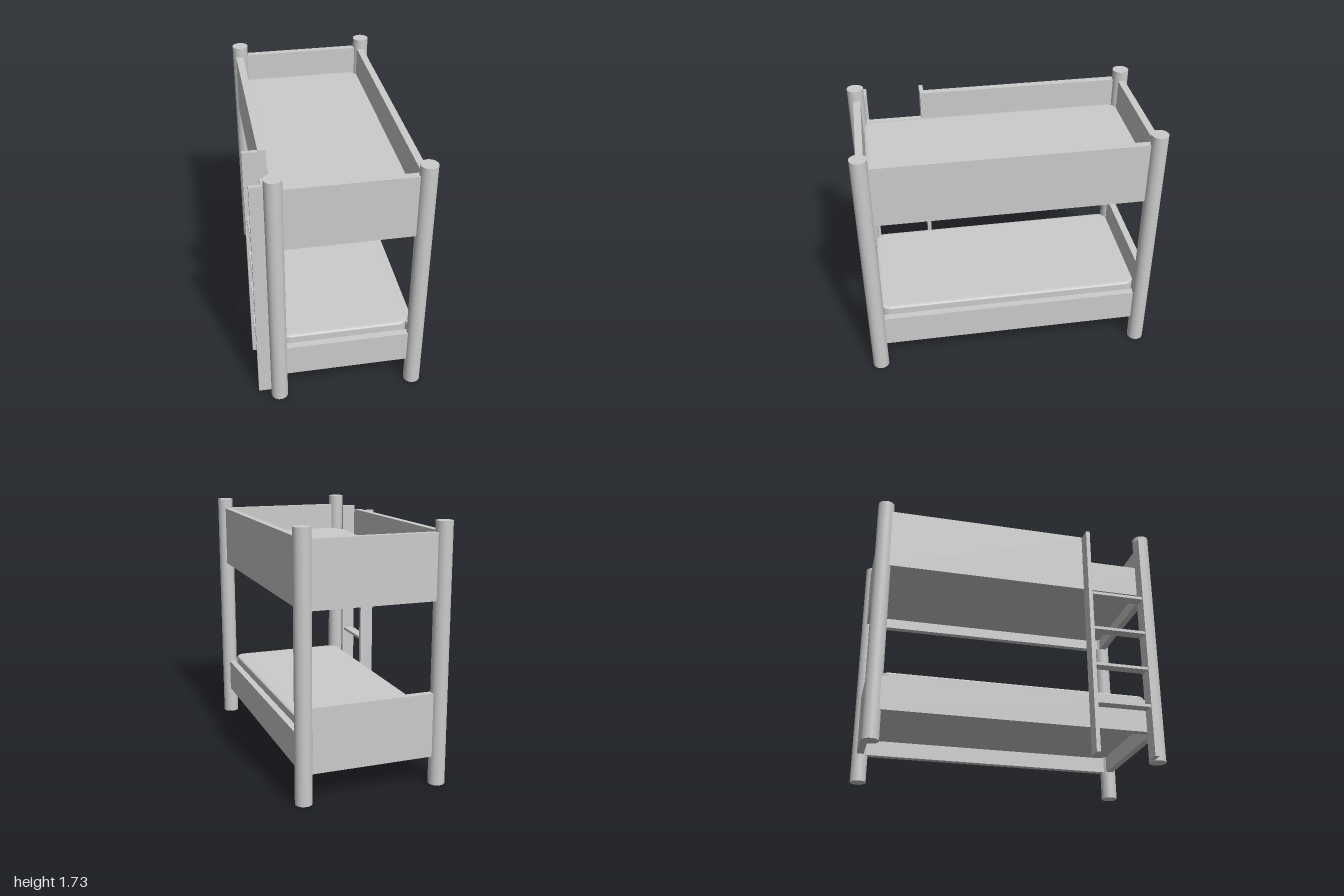
import * as THREE from 'three';

const material = new THREE.MeshStandardMaterial({ color: 0xcccccc });

export function createModel() {
  const bed = new THREE.Group();
  bed.name = 'bunkBed';

  const add = (name, geometry, x = 0, y = 0, z = 0) => {
    const mesh = new THREE.Mesh(geometry, material);
    mesh.name = name;
    mesh.position.set(x, y, z);
    bed.add(mesh);
  };

  // Box given by its lower and upper limits on each axis
  const box = (name, [x0, x1], [y0, y1], [z0, z1]) =>
    add(name, new THREE.BoxGeometry(x1 - x0, y1 - y0, z1 - z0),
      (x0 + x1) / 2, (y0 + y1) / 2, (z0 + z1) / 2);

  // Four round corner posts
  const postX = [-0.424, 0.499], postZ = 0.944, postHeight = 1.732;
  for (const x of postX)
    for (const z of [-postZ, postZ])
      add('post', new THREE.CylinderGeometry(0.056, 0.056, postHeight, 32), x, postHeight / 2, z);

  // Rail positions between the posts
  const spanX = postX, spanZ = [-postZ, postZ];
  const leftX = [0.464, 0.511], rightX = [-0.461, -0.41];
  const frontZ = [0.915, 0.962], backZ = [-0.968, -0.92];

  // Lower bunk: low rails with a tall headboard at the back
  const low = [0.197, 0.425];
  box('lowerFrontRail', spanX, low, frontZ);
  box('lowerHeadboard', spanX, [0.197, 0.628], backZ);
  box('lowerLeftRail', leftX, low, spanZ);
  box('lowerRightRail', rightX, low, spanZ);

  // Upper bunk: tall panels, with a lowered rail at the ladder opening
  const high = [1.232, 1.662];
  box('upperFrontPanel', spanX, high, frontZ);
  box('upperHeadboard', spanX, high, backZ);
  box('upperLeftPanel', leftX, high, spanZ);
  box('upperRightPanel', rightX, high, [-postZ, 0.5]);
  box('upperEntryRail', rightX, [1.232, 1.46], [0.5, postZ]);

  // Mattresses with rounded corners and softly crowned faces
  for (const [name, bottom] of [['lowerMattress', 0.299], ['upperMattress', 1.295]])
    add(name, mattressGeometry(0.865, 1.82, 0.181, 0.07), 0.026, bottom, 0);

  // Ladder: two flat stiles and evenly spaced treads
  for (const z of [0.472, 0.87]) box('ladderStile', [-0.56, -0.461], [0, 1.653], [z, z + 0.028]);
  for (let i = 0; i < 4; i++) {
    const y = 0.341 + i * 0.27;
    box('ladderTread', [-0.55, -0.475], [y, y + 0.02], [0.495, 0.875]);
  }

  return bed;
}

// Rounded rectangle lying flat, extruded upward from y = 0
function mattressGeometry(width, length, height, radius) {
  const inset = 0.03, crown = 0.012;
  const w = width / 2 - inset, l = length / 2 - inset, r = radius - inset;
  const shape = new THREE.Shape();
  shape.absarc(w - r, l - r, r, 0, Math.PI / 2);
  shape.absarc(-w + r, l - r, r, Math.PI / 2, Math.PI);
  shape.absarc(-w + r, -l + r, r, Math.PI, Math.PI * 1.5);
  shape.absarc(w - r, -l + r, r, Math.PI * 1.5, Math.PI * 2);
  const geometry = new THREE.ExtrudeGeometry(shape, {
    depth: height - 2 * crown, bevelSize: inset, bevelThickness: crown,
    bevelSegments: 5, curveSegments: 10,
  });
  return geometry.translate(0, 0, crown).rotateX(-Math.PI / 2);
}
